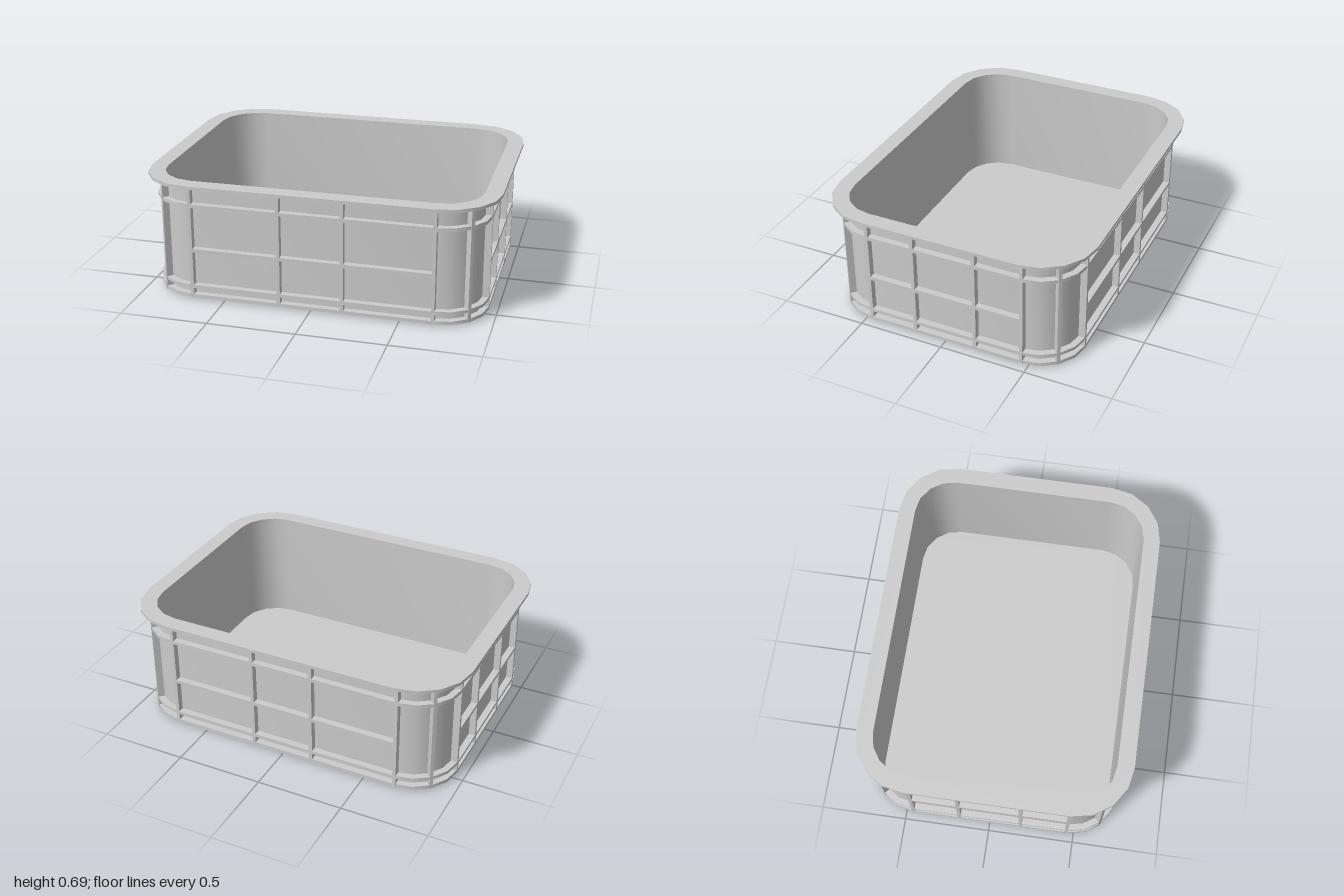
import * as THREE from 'three';
import { toCreasedNormals } from 'three/addons/utils/BufferGeometryUtils.js';

// Centres of the corner arcs; every outline is concentric with them
const CX = 0.685, CZ = 0.458;
const R_IN = 0.22, R_WALL = 0.23, R_RIB = 0.267, R_RIM = 0.315;
const RIB = 0.02, SEGMENTS = 4;

// Rounded rectangle whose corners have radius r
function outline(r) {
  const points = [];
  const corners = [[1, 1], [-1, 1], [-1, -1], [1, -1]];
  corners.forEach(([sx, sz], i) => {
    for (let k = 0; k <= SEGMENTS; k++) {
      const a = (i + k / SEGMENTS) * Math.PI / 2;
      points.push(new THREE.Vector2(sx * CX + r * Math.cos(a), sz * CZ + r * Math.sin(a)));
    }
  });
  return points;
}

export function createModel() {
  const group = new THREE.Group();
  const material = new THREE.MeshStandardMaterial({ color: 0xcccccc });

  function add(name, geometry, x = 0, y = 0, z = 0, turn = 0) {
    const mesh = new THREE.Mesh(geometry, material);
    mesh.name = name;
    mesh.position.set(x, y, z);
    mesh.rotation.y = turn;
    group.add(mesh);
  }

  // Upright slab or ring between heights y0 and y1
  function band(name, rOuter, rInner, y0, y1) {
    const shape = new THREE.Shape(outline(rOuter));
    if (rInner) shape.holes.push(new THREE.Path(outline(rInner)));
    const geometry = new THREE.ExtrudeGeometry(shape, { depth: y1 - y0, bevelEnabled: false });
    geometry.rotateX(-Math.PI / 2);
    add(name, toCreasedNormals(geometry, 0.6), 0, y0, 0);
  }

  // Tub and rim
  band('floor', R_IN, 0, 0, 0.02);
  band('wall', R_WALL, R_IN, 0, 0.68);
  band('rim', R_RIM, R_IN, 0.672, 0.69);

  // Horizontal ribs running all the way round
  [[0.01, 0.03], [0.068, 0.086], [0.548, 0.568]].forEach(([y0, y1]) =>
    band('horizontalRib', R_RIB, R_WALL - 0.003, y0, y1));

  // Vertical ribs and a short middle rib on each straight side
  const y0 = 0.01, height = 0.664, yMid = y0 + height / 2;
  const depth = R_RIB - R_WALL + 0.005;
  const rMid = R_RIB - depth / 2;
  for (const s of [1, -1]) {
    for (const x of [-CX, -0.18, 0.18, CX]) {
      add('longSideRib', new THREE.BoxGeometry(RIB, height, depth), x, yMid, s * (CZ + rMid));
    }
    for (const z of [-CZ, -0.182, 0.182, CZ]) {
      add('shortSideRib', new THREE.BoxGeometry(depth, height, RIB), s * (CX + rMid), yMid, z);
    }
    add('longMiddleRib', new THREE.BoxGeometry(CX * 2, RIB, depth), 0, 0.295, s * (CZ + rMid));
    add('shortMiddleRib', new THREE.BoxGeometry(depth, RIB, CZ * 2), s * (CX + rMid), 0.295, 0);

    // Diagonal rib at the middle of each corner
    for (const t of [1, -1]) {
      const d = rMid * Math.SQRT1_2;
      add('cornerRib', new THREE.BoxGeometry(depth, height, RIB),
        s * (CX + d), yMid, t * (CZ + d), -s * t * Math.PI / 4);
    }
  }
  return group;
}
